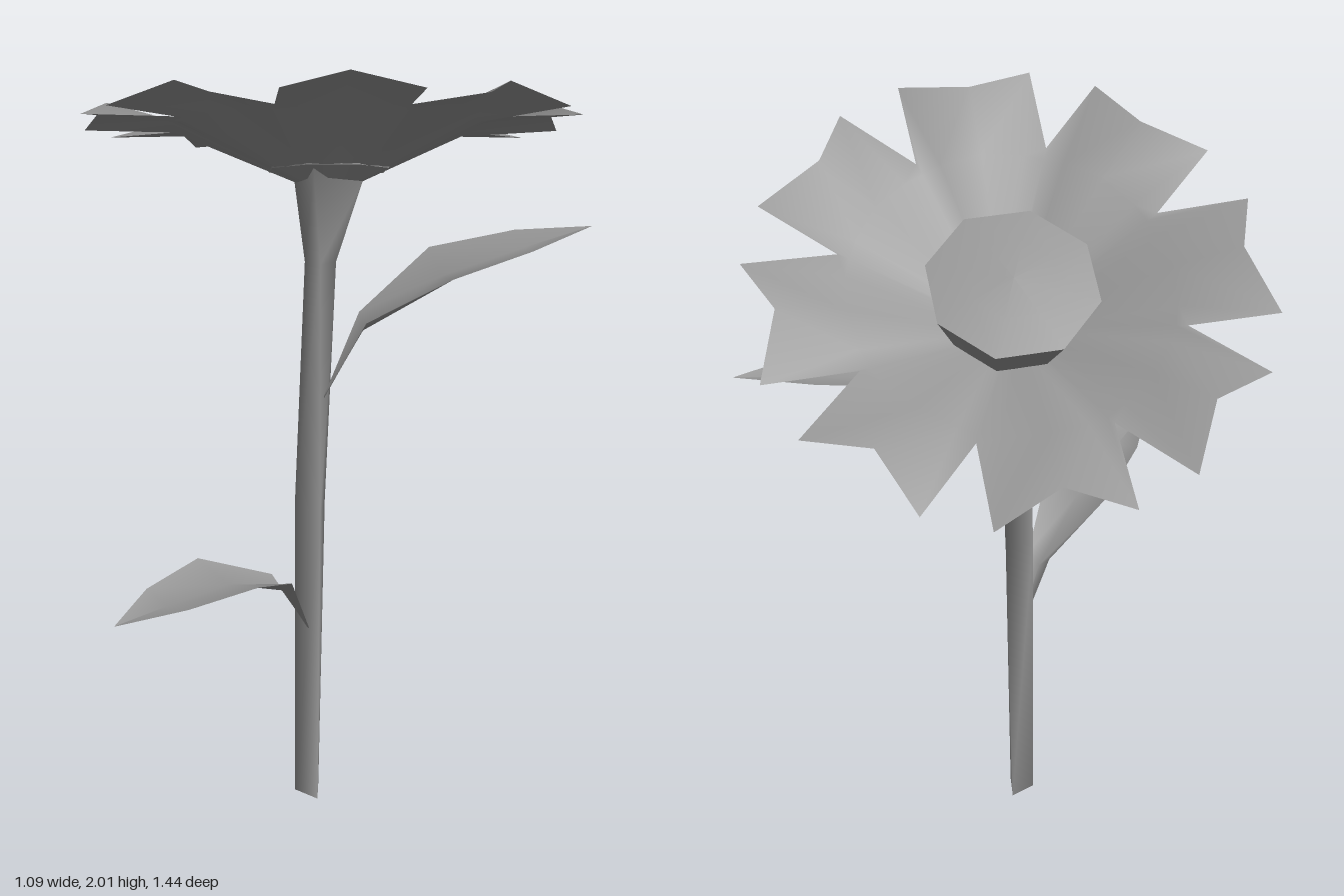
import * as THREE from 'three';

const UP = new THREE.Vector3(0, 1, 0);
const V = (x, y, z) => new THREE.Vector3(x, y, z);
const rad = THREE.MathUtils.degToRad;
const material = new THREE.MeshStandardMaterial({ color: 0x989898, side: THREE.DoubleSide });

// Surface through rows of points, optionally closed around each row
function skin(rows, closed) {
  const n = rows[0].length;
  const index = [];
  for (let i = 0; i < rows.length - 1; i++) {
    for (let j = 0; j < (closed ? n : n - 1); j++) {
      const a = i * n + j, b = i * n + ((j + 1) % n);
      index.push(a, b, b + n, a, b + n, a + n);
    }
  }
  const geometry = new THREE.BufferGeometry().setFromPoints(rows.flat());
  geometry.setIndex(index);
  geometry.computeVertexNormals();
  return geometry;
}

function part(name, geometry, parent) {
  const mesh = new THREE.Mesh(geometry, material);
  mesh.name = name;
  parent.add(mesh);
  return mesh;
}

// Eight-sided turned shape for the middle of the flower
function turned(profile) {
  return new THREE.LatheGeometry(
    profile.map(([r, y]) => new THREE.Vector2(r, y)), 8, Math.PI / 8);
}

// Three-sided stem, bent and flaring into the calyx
function stemGeometry() {
  // centre, radius, turn in degrees, axis
  const rings = [
    [V(0.145, 0, 0.034), 0.04, 68, UP],
    [V(0.142, 0.86, 0.03), 0.045, 62, V(-0.05, 1, -0.06)],
    [V(0.075, 1.45, -0.067), 0.042, 40, V(-0.2, 1, -0.22)],
    [V(0.037, 1.645, -0.12), 0.097, 25, V(-0.27, 1, -0.48)],
  ];
  return skin(rings.map(([centre, radius, degrees, axis]) => {
    const tilt = new THREE.Quaternion().setFromUnitVectors(UP, axis.clone().normalize());
    return [0, 120, 240].map(step => {
      const a = rad(degrees + step);
      return V(Math.sin(a) * radius, 0, Math.cos(a) * radius).applyQuaternion(tilt).add(centre);
    });
  }), true);
}

// Folded leaf growing along +z: distance, height of the rib, half width, lift of the edges
function leafGeometry() {
  const stations = [
    [0, 0, 0.003, 0],
    [0.1, 0.16, 0.032, 0.033],
    [0.29, 0.27, 0.095, 0.033],
    [0.49, 0.312, 0.065, 0.018],
    [0.655, 0.342, 0.001, 0],
  ];
  return skin(stations.map(([s, y, w, lift]) =>
    [V(w, y + lift, s), V(0, y, s), V(-w, y + lift, s)]), false);
}

// Eight arched petals, each with two tips and a raised shallow notch, around a cone
function petalGeometry() {
  // angle within the petal, rim radius, rim height, height where the petal leaves the cone
  const petal = [
    [-22.5, 0.385, -0.005, -0.015],
    [-15, 0.585, 0, -0.01],
    [0, 0.51, 0.045, 0],
    [15, 0.585, 0, -0.01],
  ];
  const rows = [[], [], [], []];
  for (let k = 0; k < 8; k++) {
    for (const [degrees, rim, height, root] of petal) {
      const a = rad(k * 45 + degrees);
      [[rim, height], [0.36, root], [0.08, -0.135], [0, -0.135]].forEach(([r, y], i) =>
        rows[i].push(V(Math.sin(a) * r, y, Math.cos(a) * r)));
    }
  }
  return skin(rows, true);
}

export function createModel() {
  const group = new THREE.Group();
  group.name = 'flower';
  part('stem', stemGeometry(), group);

  // Tilted flower head
  const head = new THREE.Group();
  head.name = 'flowerHead';
  head.position.set(-0.005, 1.74, -0.185);
  head.quaternion.setFromUnitVectors(UP, V(-0.345, 1, -0.383).normalize());
  group.add(head);
  part('petals', petalGeometry(), head);
  part('seedDiscTop', turned([[0.193, 0.02], [0.1, 0.036], [0, 0.042]]), head);
  part('seedDiscSide', turned([[0.145, -0.11], [0.193, 0.02]]), head);

  // Two leaves of the same shape
  const leaf = leafGeometry();
  part('lowerLeaf', leaf, group).position.set(0.155, 0.53, 0.06);
  const upper = part('upperLeaf', leaf, group);
  upper.position.set(0.142, 1.145, -0.005);
  upper.rotation.set(-0.05, Math.atan2(0.585, -0.81), 0, 'YXZ');

  return group;
}
